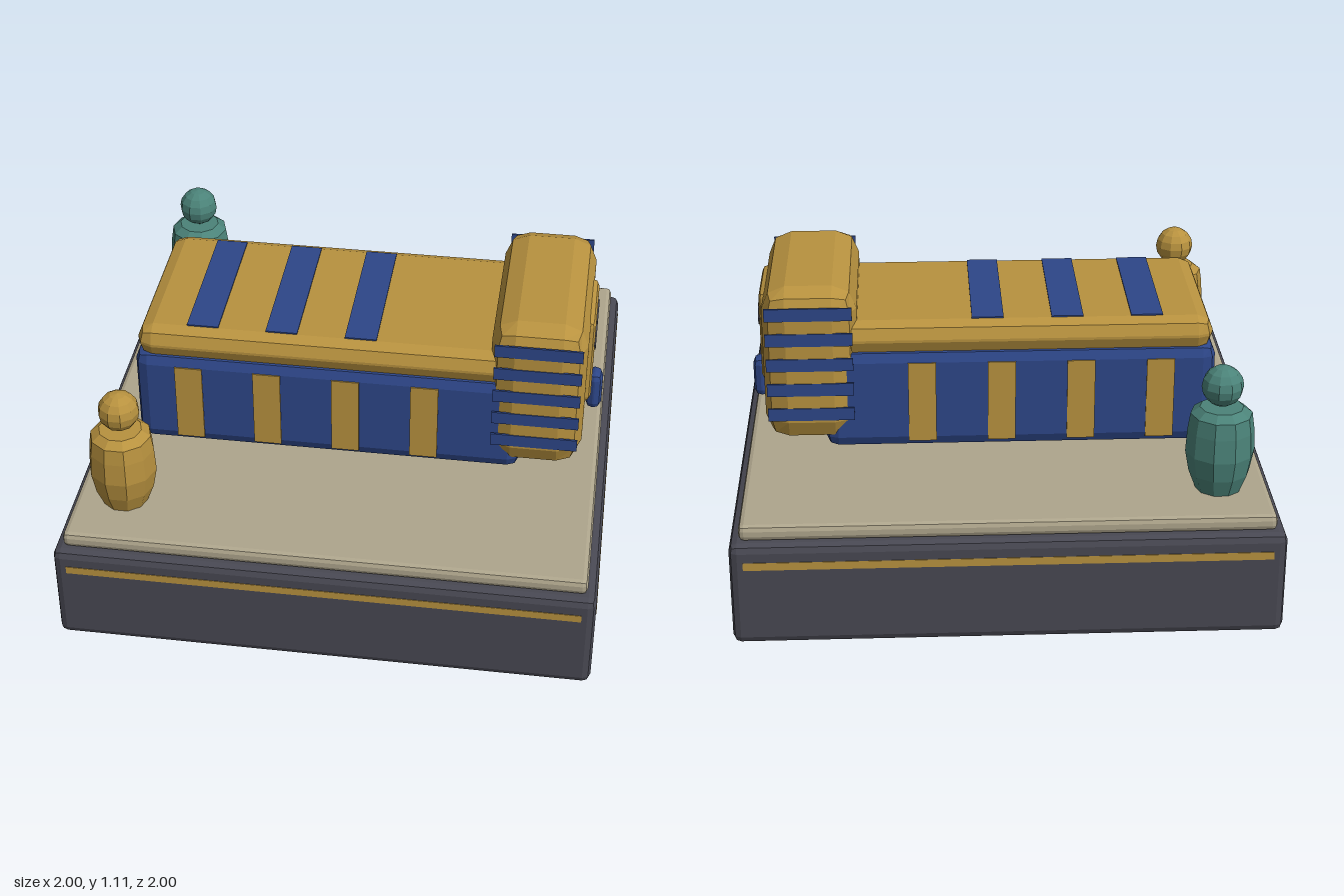
import * as THREE from 'three';
import { RoundedBoxGeometry } from 'three/addons/geometries/RoundedBoxGeometry.js';

const material = (name, color) => {
  const m = new THREE.MeshStandardMaterial({ color, flatShading: true });
  m.name = name;
  return m;
};

export function createModel() {
  const gold = material('gold', 0xb8923f);
  const blue = material('lapis blue', 0x2d4688);
  const dark = material('dark stone', 0x484852);
  const sand = material('sandstone', 0xaea58c);
  const teal = material('teal', 0x4b8379);

  const model = new THREE.Group();
  model.name = 'sarcophagus';

  const add = (name, geometry, mat, x, y, z, parent = model) => {
    const mesh = new THREE.Mesh(geometry, mat);
    mesh.name = name;
    mesh.position.set(x, y, z);
    parent.add(mesh);
    return mesh;
  };
  // Boxes given by their limits on each axis
  const block = (name, mat, [x0, x1], [y0, y1], [z0, z1], radius = 0) => {
    const size = [x1 - x0, y1 - y0, z1 - z0];
    const geometry = radius
      ? new RoundedBoxGeometry(...size, 1, radius)
      : new THREE.BoxGeometry(...size);
    return add(name, geometry, mat, (x0 + x1) / 2, (y0 + y1) / 2, (z0 + z1) / 2);
  };

  // Plinth with a gold band on each side, and the slab on top
  block('plinth', dark, [-1, 1], [0, 0.4], [-1, 1], 0.03);
  for (let i = 0; i < 4; i++) {
    const band = new THREE.Group();
    band.name = 'plinthBand';
    band.rotation.y = i * Math.PI / 2;
    add('band', new THREE.BoxGeometry(1.9, 0.03, 0.006), gold, 0, 0.32, 0.999, band);
    model.add(band);
  }
  block('slab', sand, [-0.965, 0.965], [0.4, 0.46], [-0.965, 0.965], 0.02);

  // Coffin and lid
  block('coffin', blue, [-0.81, 0.67], [0.465, 0.87], [-0.365, 0.365], 0.05);
  block('lid', gold, [-0.8, 0.62], [0.84, 0.97], [-0.36, 0.36], 0.06);
  for (const x of [-0.55, -0.25, 0.05]) {
    block('lidStripe', blue, [x - 0.06, x + 0.06], [0.967, 0.975], [-0.3, 0.3]);
  }
  for (const side of [-1, 1]) {
    for (const x of [-0.6, -0.3, 0, 0.3]) {
      add('coffinStripe', new THREE.BoxGeometry(0.105, 0.32, 0.008), gold, x, 0.66, side * 0.366);
    }
  }

  // Headdress with blue bands on both sides
  block('headdress', gold, [0.54, 0.895], [0.5, 1.11], [-0.385, 0.385], 0.09);
  for (const side of [-1, 1]) {
    for (let i = 0; i < 5; i++) {
      add('headdressBand', new THREE.BoxGeometry(0.325, 0.05, 0.008), blue,
        0.718, 0.625 + i * 0.101, side * 0.384);
    }
  }

  // Face, eyes and beard
  block('face', gold, [0.85, 0.915], [0.66, 1.03], [-0.16, 0.16], 0.025);
  for (const side of [-1, 1]) {
    const eye = add('eye', new THREE.CylinderGeometry(1, 1, 0.008, 10), dark, 0.916, 0.92, side * 0.08);
    eye.rotation.z = -Math.PI / 2;
    eye.scale.set(0.045, 1, 0.062);
  }
  block('beard', blue, [0.895, 0.957], [0.543, 0.705], [-0.042, 0.042], 0.028);

  // Standing figures at the two foot corners
  const profile = [[0, 0.46], [0.085, 0.46], [0.112, 0.53], [0.127, 0.61], [0.122, 0.7],
    [0.113, 0.76], [0.08, 0.785], [0, 0.785]].map(([r, y]) => new THREE.Vector2(r, y));
  for (const [mat, z] of [[gold, 0.72], [teal, -0.72]]) {
    const figure = new THREE.Group();
    figure.name = 'figure';
    figure.position.set(-0.78, 0, z);
    add('figureBody', new THREE.LatheGeometry(profile, 10), mat, 0, 0, 0, figure).rotation.y = Math.PI / 2;
    add('figureHead', new THREE.SphereGeometry(0.077, 10, 8), mat, 0, 0.867, 0, figure);
    model.add(figure);
  }

  return model;
}
